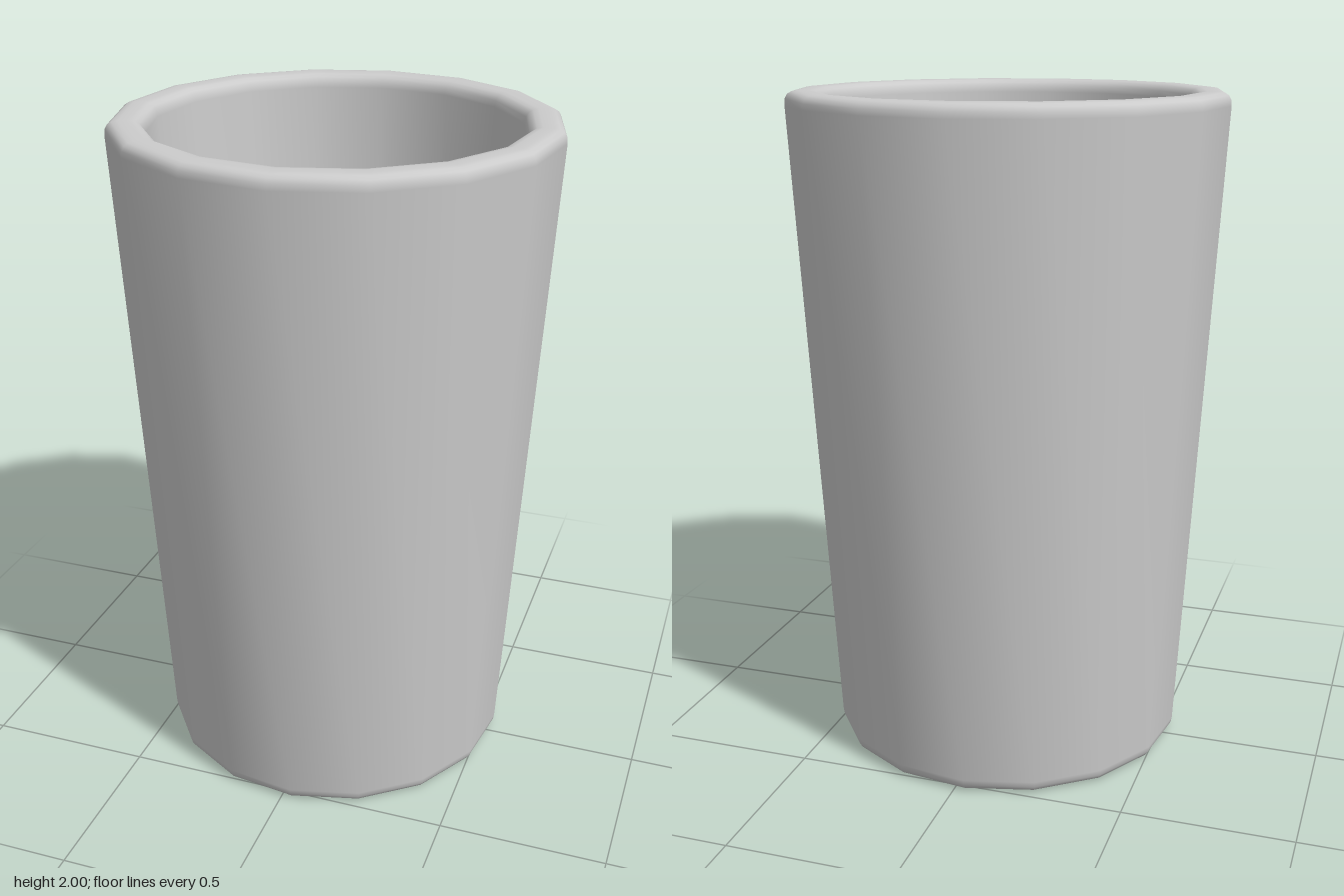
import * as THREE from 'three';
import { mergeVertices } from 'three/addons/utils/BufferGeometryUtils.js';

const SIDES = 16;

// Half section from the underside centre, up the outer wall, over the rim and down to the inner floor
function cupProfile() {
  const path = new THREE.Path();
  path.moveTo(0, 0);
  path.lineTo(0.5, 0);
  path.quadraticCurveTo(0.537, 0, 0.54, 0.04); // rounded foot
  path.lineTo(0.648, 1.96);
  path.quadraticCurveTo(0.65, 2, 0.61, 2); // outer lip
  path.lineTo(0.58, 2);
  path.quadraticCurveTo(0.542, 2, 0.54, 1.96); // inner lip
  path.lineTo(0.435, 0.13);
  path.quadraticCurveTo(0.433, 0.11, 0.415, 0.11); // floor corner
  path.lineTo(0, 0.11);
  return path.getPoints(4);
}

export function createModel() {
  const group = new THREE.Group();
  group.name = 'tumbler';

  // Slightly turned 16-sided lathe; welded so the seam shades smoothly
  const lathe = new THREE.LatheGeometry(cupProfile(), SIDES, THREE.MathUtils.degToRad(3.5));
  lathe.deleteAttribute('uv');
  lathe.deleteAttribute('normal');
  const geometry = mergeVertices(lathe, 1e-4);
  geometry.computeVertexNormals();

  const cup = new THREE.Mesh(geometry, new THREE.MeshStandardMaterial({ color: 0xcccccc }));
  cup.name = 'cup';
  group.add(cup);
  return group;
}
